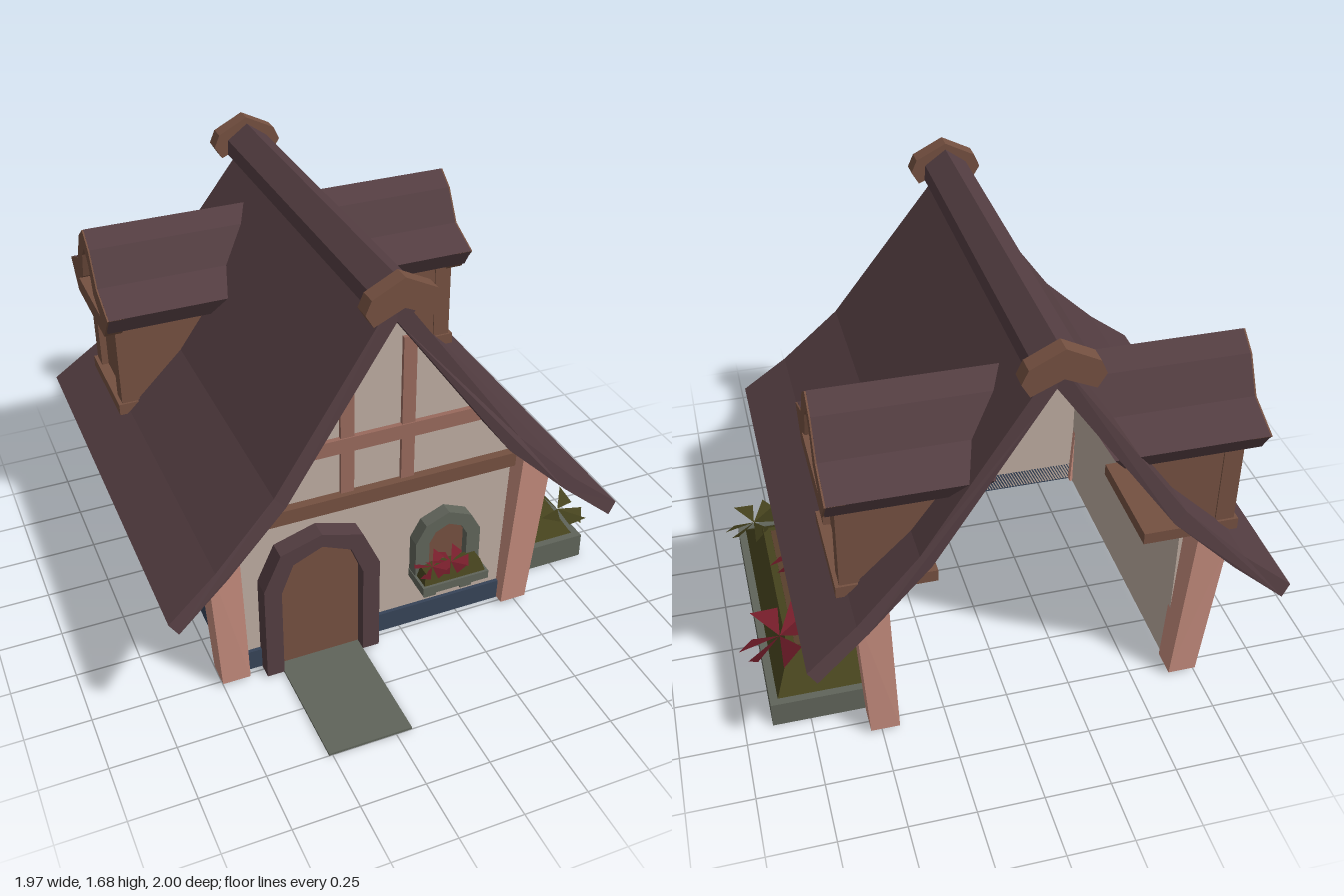
import * as THREE from 'three';

const CX = -0.105; // ridge line of the house

const mat = (name, color, side = THREE.FrontSide) => {
  const m = new THREE.MeshStandardMaterial({ color, side });
  m.name = name;
  return m;
};

export function createModel() {
  const root = new THREE.Group();
  root.name = 'cottage';
  const plaster = mat('plaster', 0xbcaba0, THREE.DoubleSide);
  const salmon = mat('salmonTimber', 0xc68d7e, THREE.DoubleSide);
  const beamMat = mat('roseTimber', 0x98695c);
  const brown = mat('brownTimber', 0x745040, THREE.DoubleSide);
  const roofMat = mat('roofPlum', 0x533d41, THREE.DoubleSide);
  const navy = mat('navyPlinth', 0x364357);
  const stone = mat('stone', 0x60645a);
  const green = mat('foliage', 0x45421d, THREE.DoubleSide);
  const soilMat = mat('soil', 0x583f2c);
  const red = mat('petalRed', 0x761e2b, THREE.DoubleSide);

  const add = (name, geo, m, parent = root) => {
    const mesh = new THREE.Mesh(geo, m);
    mesh.name = name;
    parent.add(mesh);
    return mesh;
  };
  // box given by its limits
  const box = (name, x0, x1, y0, y1, z0, z1, m, parent = root) => {
    const g = new THREE.BoxGeometry(x1 - x0, y1 - y0, z1 - z0);
    g.translate((x0 + x1) / 2, (y0 + y1) / 2, (z0 + z1) / 2);
    return add(name, g, m, parent);
  };
  const vecs = pts => pts.map(p => new THREE.Vector2(p[0], p[1]));
  const extrude = (pts, z0, z1, hole) => {
    const s = new THREE.Shape(vecs(pts));
    if (hole) s.holes.push(new THREE.Path(vecs(hole)));
    return new THREE.ExtrudeGeometry(s, { depth: z1 - z0, bevelEnabled: false }).translate(0, 0, z0);
  };
  // mirrors a half profile that runs from the outside to the centre line
  const sym = half => [...half, ...half.filter(p => p[0] !== 0).reverse().map(([x, y]) => [-x, y])];
  const warp = (g, rule) => {
    const p = g.attributes.position;
    const v = new THREE.Vector3();
    for (let i = 0; i < p.count; i++) {
      v.fromBufferAttribute(p, i);
      rule(v);
      p.setXYZ(i, v.x, v.y, v.z);
    }
    const out = g.index ? g.toNonIndexed() : g;
    out.computeVertexNormals();
    return out;
  };

  const house = new THREE.Group();
  house.name = 'house';
  house.position.x = CX;
  root.add(house);

  // Main roof: swept chevron, flaring lengthwise towards the eaves
  const outer = [[0.882, 0.575], [0.70, 0.72], [0.47, 0.945], [0, 1.6]];
  const inner = [[0.85, 0.53], [0.66, 0.685], [0.43, 0.90], [0, 1.495]];
  const roof = extrude([...sym(outer), ...sym(inner).reverse()], 0, 1);
  add('mainRoof', warp(roof, v => {
    const d = Math.max(0, 1.555 - v.y);
    v.z = v.z > 0.5 ? 0.625 + d * 0.055 + d * d * 0.065 : -0.85 - d * 0.06 - d * d * 0.085;
  }), roofMat, house);
  add('ridgeBeam', extrude(sym([[0.06, 1.51], [0.087, 1.54], [0.083, 1.6], [0, 1.66]]), -0.85, 0.622), roofMat, house);
  const cap = [...sym([[0.11, 1.525], [0.14, 1.575], [0.118, 1.625], [0, 1.685]]), [0, 1.575]];
  add('frontRidgeCap', extrude(cap, 0.62, 0.685), brown, house);
  add('backRidgeCap', extrude(cap, -0.92, -0.855), brown, house);

  // Walls: front gable and two sides, open at the back
  const gable = sym([[0.57, 0.02], [0.57, 0.775], [0.43, 0.91], [0, 1.51]]);
  add('frontWall', extrude(gable, 0.455, 0.475), plaster, house);
  for (const s of [-1, 1]) {
    const tag = s > 0 ? 'left' : 'right';
    const x = s * 0.56;
    box(tag + 'Wall', x - 0.01, x + 0.01, 0.02, 0.79, -0.73, 0.465, plaster, house);
    box(tag + 'Plinth', s * 0.585 - 0.015, s * 0.585 + 0.015, 0.015, 0.1, -0.74, 0.49, navy, house);
    // corner posts, leaning outwards as they rise
    for (const f of [-1, 1]) {
      const g = warp(new THREE.BoxGeometry(1, 1, 1), v => {
        const top = v.y > 0, out = v.x > 0, face = v.z > 0;
        v.x = top ? (out ? 0.692 : 0.572) : (out ? 0.648 : 0.538);
        v.y = top ? (out ? 0.70 : 0.79) : 0.02;
        v.z = top ? (face ? 0.706 : 0.572) : (face ? 0.67 : 0.566);
      });
      const post = add(tag + (f > 0 ? 'Front' : 'Back') + 'Post', g, salmon, house);
      post.scale.set(s, 1, f);
      post.position.z = -0.14;
    }
  }
  box('frontPlinth', -0.6, 0.6, 0.015, 0.1, 0.455, 0.49, navy, house);

  // Gable timbers
  box('lowerBeam', -0.57, 0.57, 0.68, 0.74, 0.47, 0.51, brown, house);
  box('upperRail', -0.42, 0.42, 0.92, 0.98, 0.47, 0.495, beamMat, house);
  for (const s of [-1, 1]) box('gableStud', s * 0.12 - 0.026, s * 0.12 + 0.026, 0.74, 1.34, 0.47, 0.49, beamMat, house);

  // Door
  const door = new THREE.Group();
  door.name = 'door';
  door.position.x = -0.35;
  root.add(door);
  const opening = y => sym([[0.163, y], [0.163, 0.4], [0.115, 0.52], [0, 0.57]]);
  const doorOuter = [...sym([[0.231, 0.012], [0.231, 0.426], [0.163, 0.575], [0, 0.625]]), ...opening(0.012).reverse()];
  add('doorFrame', extrude(doorOuter, 0.465, 0.55), roofMat, door);
  add('doorPanel', extrude(opening(0.01), 0.465, 0.5), brown, door);
  box('doorPath', -0.163, 0.163, 0.005, 0.014, 0.5, 1.0, stone, door);

  // Window with stone surround and flower trough
  const win = new THREE.Group();
  win.name = 'window';
  win.position.x = 0.178;
  root.add(win);
  add('windowFrame', extrude(sym([[0.137, 0.27], [0.137, 0.44], [0.095, 0.515], [0, 0.555]]), 0.465, 0.53,
    sym([[0.08, 0.3], [0.08, 0.43], [0.055, 0.475], [0, 0.5]])), stone, win);
  add('windowPanel', extrude(sym([[0.1, 0.28], [0.1, 0.43], [0.07, 0.49], [0, 0.515]]), 0.465, 0.495), brown, win);
  box('windowSill', -0.14, 0.14, 0.25, 0.285, 0.47, 0.61, stone, win);
  for (const x of [-0.09, 0.065]) box('sillBracket', x - 0.025, x + 0.025, 0.2, 0.25, 0.47, 0.57, stone, win);
  add('windowPlants', warp(new THREE.BoxGeometry(0.26, 0.045, 0.1).translate(0, 0.307, 0.55), v => {
    if (v.y > 0.307) { v.x *= 0.9; v.z = 0.55 + (v.z - 0.55) * 0.6; }
  }), green, win);

  // Radial tuft of flat, outward-widening blades
  const tuft = (name, x, y, z, r, tilt, m, parent) => {
    const pos = [];
    for (let i = 0; i < 6; i++) {
      const a = (i / 6) * Math.PI * 2 + 0.3;
      const lift = i % 2 ? r * 0.1 : -r * 0.1;
      const at = (k, rr, h) => [Math.cos(a + k) * rr, h, Math.sin(a + k) * rr];
      pos.push(0, 0, 0, ...at(-0.3, r, lift + r * 0.22), ...at(0.34, r * 0.92, lift - r * 0.05));
    }
    const g = new THREE.BufferGeometry();
    g.setAttribute('position', new THREE.Float32BufferAttribute(pos, 3));
    g.computeVertexNormals();
    const mesh = add(name, g, m, parent);
    mesh.position.set(x, y, z);
    mesh.rotation.set(0.08, 0, tilt);
  };
  for (const x of [-0.08, 0]) tuft('windowFlower', x, 0.337, 0.56, 0.075, 0.1, red, win);

  // Planter beside the left wall: open frame, mound, soil and flowers
  const bed = new THREE.Group();
  bed.name = 'planter';
  root.add(bed);
  box('planterFront', 0.46, 0.895, 0.005, 0.112, 0.35, 0.38, stone, bed);
  box('planterBack', 0.46, 0.895, 0.005, 0.112, -0.68, -0.65, stone, bed);
  box('planterSide', 0.865, 0.895, 0.005, 0.112, -0.65, 0.35, stone, bed);
  box('planterBase', 0.5, 0.87, 0.012, 0.02, -0.66, 0.36, plaster, bed);
  add('planterMound', warp(new THREE.BoxGeometry(1, 1, 1), v => {
    const top = v.y > 0;
    v.x = v.x > 0 ? (top ? 0.8 : 0.87) : 0.48;
    v.z = v.z > 0 ? (top ? 0.2 : 0.36) : (top ? -0.53 : -0.66);
    v.y = top ? 0.225 : 0.1;
  }), green, bed);
  box('planterSoil', 0.49, 0.77, 0.222, 0.228, -0.505, 0.175, soilMat, bed);
  tuft('redFlower', 0.67, 0.295, -0.07, 0.14, -0.4, red, bed);
  tuft('redFlower', 0.82, 0.245, -0.46, 0.165, -0.4, red, bed);
  tuft('leafTuft', 0.83, 0.2, 0.28, 0.125, -0.35, green, bed);

  // Dormers, one on each slope; local x points outwards
  const alongX = g => g.rotateY(Math.PI / 2);
  const shellTop = [[0.3, 1.19], [0.15, 1.255], [0.075, 1.385], [0, 1.44]];
  const shellLow = [[0.25, 1.11], [0.12, 1.19], [0.05, 1.33], [0, 1.375]];
  const trim = [[0.21, 1.08], ...shellTop.map(([x, y]) => [x, y - 0.001])];
  for (const s of [1, -1]) {
    const d = new THREE.Group();
    d.name = s > 0 ? 'leftDormer' : 'rightDormer';
    d.position.z = -0.587;
    d.rotation.y = s > 0 ? 0 : Math.PI;
    house.add(d);
    // inner ends follow the slope of the main roof
    const shell = alongX(extrude([...sym(shellTop), ...sym(shellLow).reverse()], 0, 0.764));
    add('dormerRoof', warp(shell, v => { if (v.x < 0.1) v.x = (1.6 - v.y) / 1.39 - 0.09; }), roofMat, d);
    add('dormerTrim', alongX(extrude(sym(trim), 0.7, 0.77,
      sym([[0.175, 1.15], [0.085, 1.2], [0.05, 1.31], [0, 1.36]]))), brown, d);
    add('dormerGable', alongX(extrude(
      sym([[0.19, 1.12], [0.1, 1.21], [0.06, 1.33], [0, 1.375]]), 0.7, 0.725)), salmon, d);
    const body = new THREE.BoxGeometry(0.4, 0.38, 0.39).translate(0.5, 0.91, 0);
    add('dormerBody', warp(body, v => { if (v.x < 0.5) v.x = v.y > 0.9 ? 0.33 : 0.66; }), brown, d);
    for (const f of [-1, 1]) box('dormerPost', 0.655, 0.727, 0.75, 1.085, f * 0.163 - 0.038, f * 0.163 + 0.038, brown, d);
    box('dormerLintel', 0.66, 0.718, 1.06, 1.1, -0.13, 0.13, brown, d);
    box('dormerSill', 0.38, 0.742, 0.71, 0.757, -0.21, 0.21, brown, d);
  }
  return root;
}
